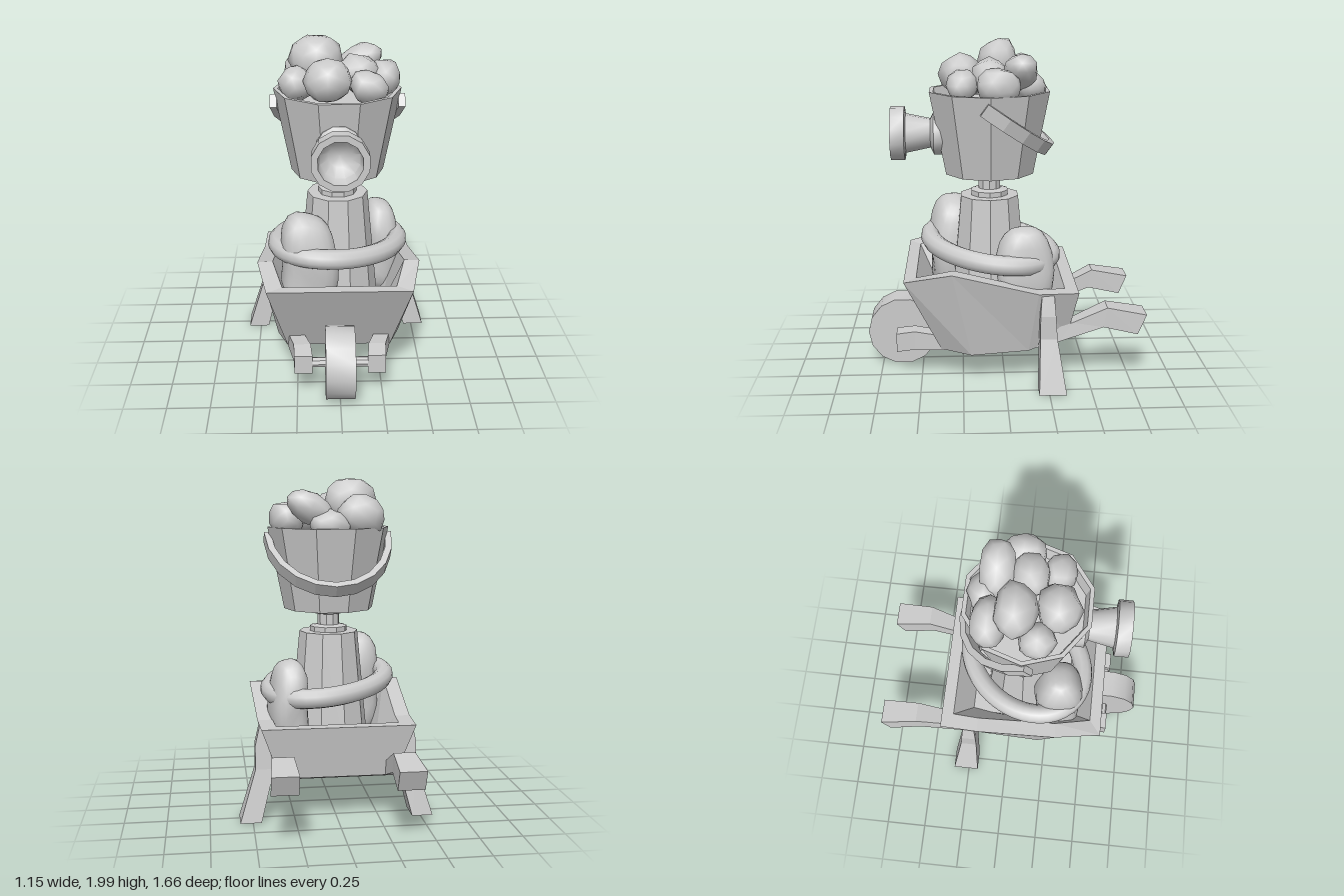
import * as THREE from 'three';
import { mergeVertices, toCreasedNormals } from 'three/addons/utils/BufferGeometryUtils.js';

const V = (x, y, z) => new THREE.Vector3(x, y, z);
const CZ = 0.08; // depth of the figure's central axis

export function createModel() {
  const root = new THREE.Group();
  const smooth = new THREE.MeshStandardMaterial({ color: 0xcccccc });
  const flat = new THREE.MeshStandardMaterial({ color: 0xcccccc, flatShading: true });

  const add = (name, geo, mat = smooth, parent = root) => {
    const mesh = new THREE.Mesh(geo, mat);
    mesh.name = name;
    parent.add(mesh);
    return mesh;
  };

  // Skin a list of equal rings; caps are index lists on the first ring, reversed on the last
  const loft = (rings, caps = [[0, 3, 2, 1]]) => {
    const pos = [];
    const quad = (a, b, c, d) => [a, b, c, a, c, d].forEach(p => pos.push(p.x, p.y, p.z));
    const n = rings[0].length;
    for (let i = 0; i < rings.length - 1; i++) {
      for (let j = 0; j < n; j++) {
        const k = (j + 1) % n;
        quad(rings[i][j], rings[i][k], rings[i + 1][k], rings[i + 1][j]);
      }
    }
    const last = rings[rings.length - 1];
    for (const c of caps) {
      quad(...c.map(i => rings[0][i]));
      quad(...[...c].reverse().map(i => last[i]));
    }
    const geo = new THREE.BufferGeometry();
    geo.setAttribute('position', new THREE.Float32BufferAttribute(pos, 3));
    geo.computeVertexNormals();
    return geo;
  };

  const lathe = (points, sides, start = Math.PI / sides) => toCreasedNormals(
    new THREE.LatheGeometry(points.map(p => new THREE.Vector2(...p)), sides, start), 0.6);

  // Ball whose vertices are moved by a rule, with shared smooth normals
  const blob = (detail, rule) => {
    let geo = new THREE.IcosahedronGeometry(1, detail);
    geo.deleteAttribute('normal');
    geo.deleteAttribute('uv');
    geo = mergeVertices(geo, 1e-3);
    const p = geo.attributes.position;
    const v = V(0, 0, 0);
    for (let i = 0; i < p.count; i++) {
      rule(v.fromBufferAttribute(p, i), i);
      p.setXYZ(i, v.x, v.y, v.z);
    }
    geo.computeVertexNormals();
    return geo;
  };

  // Barrow tray: top z, y, half width, then bottom z, y, half width, then inner top z and floor z
  const tray = [
    [0.59, 0.65, 0.42, 0.38, 0.19, 0.31, 0.52, 0.38],
    [0.31, 0.71, 0.48, 0.20, 0.17, 0.37, 0.30, 0.20],
    [-0.19, 0.58, 0.46, -0.14, 0.19, 0.36, -0.19, -0.12],
    [-0.425, 0.58, 0.45, -0.37, 0.27, 0.34, -0.35, -0.24],
  ].map(([zt, yt, xt, zb, yb, xb, zi, zf]) => {
    const xi = xt - 0.09;
    const xf = xb - 0.1;
    return [V(xt, yt, zt), V(xb, yb, zb), V(-xb, yb, zb), V(-xt, yt, zt),
      V(-xi, yt, zi), V(-xf, 0.36, zf), V(xf, 0.36, zf), V(xi, yt, zi)];
  });
  add('tray', loft(tray, [[0, 3, 2, 1], [0, 7, 4, 3], [7, 6, 5, 4]]), flat);

  for (const s of [1, -1]) {
    const side = s > 0 ? 'left' : 'right';
    // Beam from axle to handle: inner x, outer x, top z, top y, bottom z, bottom y
    const beam = [
      [0.16, 0.265, 0.65, 0.27, 0.65, 0.155],
      [0.17, 0.27, 0.54, 0.285, 0.54, 0.17],
      [0.22, 0.31, 0.36, 0.27, 0.36, 0.18],
      [0.26, 0.35, -0.14, 0.28, -0.14, 0.19],
      [0.28, 0.375, -0.40, 0.37, -0.32, 0.25],
      [0.28, 0.405, -0.60, 0.47, -0.58, 0.35],
      [0.27, 0.425, -0.83, 0.43, -0.78, 0.31],
    ].map(([a, b, zt, yt, zb, yb]) => {
      const hi = Math.max(a * s, b * s);
      const lo = Math.min(a * s, b * s);
      return [V(hi, yt, zt), V(hi, yb, zb), V(lo, yb, zb), V(lo, yt, zt)];
    });
    add(side + 'HandleBeam', loft(beam), flat);

    // Leg: y, inner x, outer x, back z, front z
    const leg = [
      [0.58, 0.41, 0.45, -0.28, -0.21],
      [0.45, 0.38, 0.48, -0.29, -0.20],
      [0.31, 0.37, 0.48, -0.30, -0.20],
      [0, 0.45, 0.575, -0.35, -0.19],
    ].map(([y, a, b, zb, zf]) => {
      const hi = Math.max(a * s, b * s);
      const lo = Math.min(a * s, b * s);
      return [V(hi, y, zb), V(hi, y, zf), V(lo, y, zf), V(lo, y, zb)];
    });
    add(side + 'Leg', loft(leg), flat);
  }

  // Wheel and axle
  const roller = (name, r, w, sides) => {
    const geo = new THREE.CylinderGeometry(r, r, w, sides);
    const mesh = add(name, toCreasedNormals(geo, 0.6));
    mesh.rotation.z = Math.PI / 2;
    mesh.position.set(0, 0.213, 0.62);
  };
  roller('wheel', 0.213, 0.17, 14);
  roller('axle', 0.03, 0.4, 8);

  // Body, neck spool and bucket head
  const turned = (name, points) => {
    add(name, lathe(points, 10)).position.z = CZ;
  };
  turned('body', [[0, 0.34], [0.25, 0.34], [0.18, 1.07], [0, 1.07]]);
  turned('neck', [[0.115, 1.07], [0.115, 1.1], [0.068, 1.11], [0.068, 1.175],
    [0.115, 1.185], [0.115, 1.212]]);
  turned('bucket', [[0, 1.21], [0.272, 1.21], [0.37, 1.705], [0.345, 1.705],
    [0.325, 1.63], [0, 1.63]]);

  // Spout on the front of the bucket, with a hollow mouth
  const spout = add('spout', lathe([[0.13, 0.34], [0.13, 0.41], [0.088, 0.43], [0.118, 0.575],
    [0.162, 0.582], [0.162, 0.665], [0.125, 0.665], [0.112, 0.59], [0.065, 0.54], [0, 0.52]], 12));
  spout.rotation.x = Math.PI / 2;
  spout.position.y = 1.447;

  // Bucket handle: half hoop hanging behind
  const arc = (rx, ry) => Array.from({ length: 11 }, (_, i) => {
    const a = i / 10 * Math.PI;
    return new THREE.Vector2(rx * Math.cos(a), ry * Math.sin(a));
  });
  const hoop = new THREE.ExtrudeGeometry(
    new THREE.Shape([...arc(0.39, 0.5), ...arc(0.35, 0.46).reverse()]),
    { depth: 0.08, bevelEnabled: false });
  hoop.translate(0, 0, -0.04);
  const bail = add('bucketHandle', hoop, flat);
  bail.rotation.x = Math.atan2(-0.81, -0.584);
  bail.position.set(0, 1.64, 0.117);

  // Rocks heaped in the bucket: position, radii, tilt
  const rocks = new THREE.Group();
  rocks.name = 'rocks';
  root.add(rocks);
  [
    [-0.12, 1.855, 0.02, 0.15, 0.145, 0.12, 0],
    [-0.17, 1.78, -0.12, 0.14, 0.12, 0.10, 0.2],
    [0.13, 1.82, -0.10, 0.16, 0.09, 0.10, 0.45],
    [0.12, 1.79, 0.08, 0.13, 0.11, 0.11, -0.2],
    [-0.24, 1.75, 0.15, 0.10, 0.10, 0.10, 0.3],
    [-0.06, 1.79, 0.25, 0.135, 0.115, 0.12, 0],
    [0.17, 1.75, 0.24, 0.11, 0.09, 0.09, -0.4],
    [0.26, 1.75, 0.03, 0.10, 0.11, 0.13, -0.2],
    [0.02, 1.72, -0.16, 0.12, 0.09, 0.09, 0],
  ].forEach(([x, y, z, rx, ry, rz, tilt], n) => {
    const geo = blob(1, (v, i) => {
      const h = Math.sin((i + 1) * 12.9898 + n * 78.233) * 43758.5453;
      v.multiplyScalar(0.92 + 0.2 * (h - Math.floor(h)));
    });
    geo.scale(rx, ry, rz);
    geo.rotateZ(tilt);
    add('rock' + (n + 1), geo, smooth, rocks).position.set(x, y, z);
  });

  // Sacks: rounded boxes with a slanting top
  const sack = (name, x, y, z, rx, ry, rz, slant, turn) => {
    const geo = blob(4, v => {
      const k = Math.cbrt(Math.abs(v.x) ** 3 + Math.abs(v.y) ** 3 + Math.abs(v.z) ** 3);
      v.divideScalar(k);
      const bulge = 1 + 0.05 * Math.sin(v.y * 5 + v.x * 2);
      v.set(v.x * rx * bulge, v.y * ry, v.z * rz * bulge);
      if (v.y > 0) v.y += slant * v.x * v.y / (rx * ry);
    });
    geo.rotateY(turn);
    add(name, geo).position.set(x, y, z);
  };
  sack('frontSack', -0.175, 0.67, 0.3, 0.165, 0.335, 0.145, -0.05, 0.15);
  sack('rearSack', 0.27, 0.63, -0.12, 0.11, 0.295, 0.165, -0.02, 0.15);

  // Rope tied round body and sacks: a tilted oval loop on the diagonal
  const loop = Array.from({ length: 16 }, (_, i) => {
    const a = i / 16 * Math.PI * 2;
    const u = 0.41 * Math.cos(a);
    const w = 0.315 * Math.sin(a);
    const x = (u + w) * Math.SQRT1_2;
    const z = (w - u) * Math.SQRT1_2;
    return V(x + 0.005, 0.755 - 0.06 * x + 0.07 * z, z + CZ);
  });
  add('rope', new THREE.TubeGeometry(new THREE.CatmullRomCurve3(loop, true), 48, 0.06, 10, true));

  return root;
}
